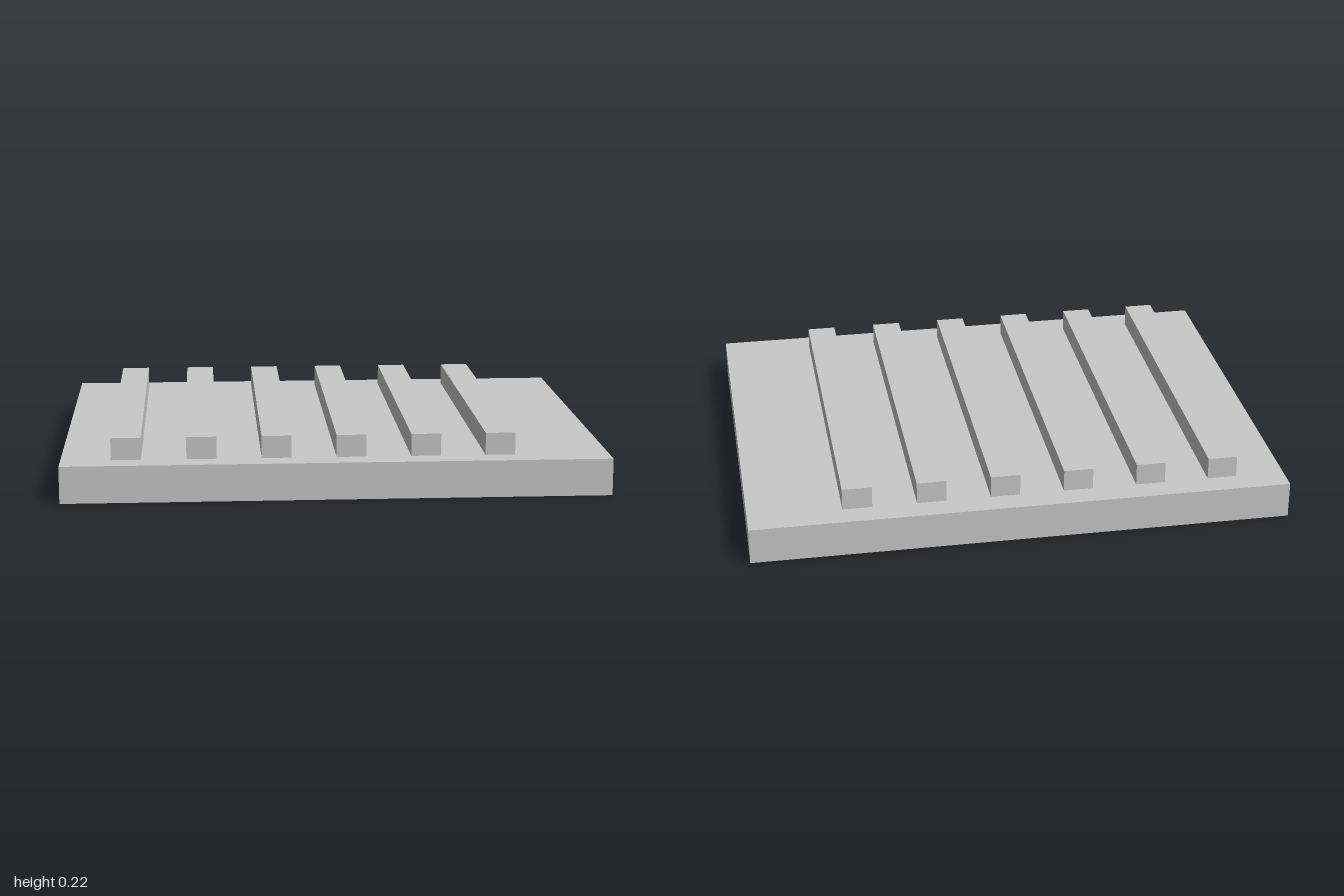
import * as THREE from 'three';

const BASE = { w: 2, h: 0.1364, d: 1.5455 };
const RIB = { w: 0.1091, h: 0.0818, d: 1.3636, count: 6, firstX: -0.7636, pitch: 0.2727 };

export function createModel() {
  const model = new THREE.Group();
  model.name = 'ribbedPlate';

  const lightGrey = new THREE.MeshStandardMaterial({ color: 0xc8c8c8 });
  lightGrey.name = 'lightGrey';

  const addBox = (name, w, h, d, x, bottom) => {
    const mesh = new THREE.Mesh(new THREE.BoxGeometry(w, h, d), lightGrey);
    mesh.name = name;
    mesh.position.set(x, bottom + h / 2, 0);
    model.add(mesh);
  };

  // Flat base slab
  addBox('basePlate', BASE.w, BASE.h, BASE.d, 0, 0);

  // Evenly spaced raised bars, starting near the -x edge
  for (let i = 0; i < RIB.count; i++) {
    addBox(`raisedBar${i + 1}`, RIB.w, RIB.h, RIB.d, RIB.firstX + i * RIB.pitch, BASE.h);
  }

  return model;
}
